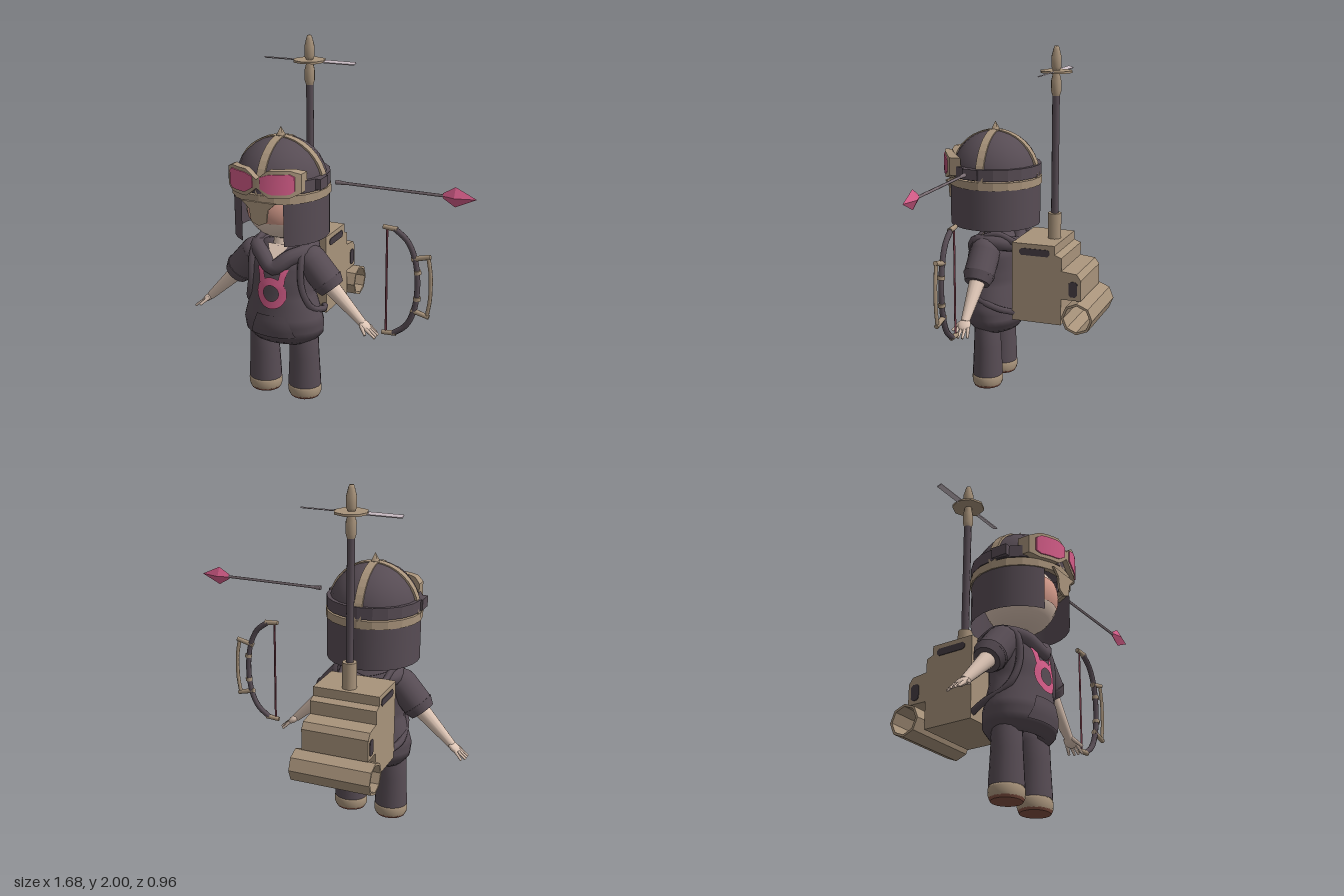
import * as THREE from 'three';
import { ParametricGeometry } from 'three/addons/geometries/ParametricGeometry.js';

const mat = (name, color) => new THREE.MeshStandardMaterial({ name, color, side: THREE.DoubleSide });
const M = {
  dark: mat('charcoal cloth', 0x574c54), tan: mat('tan', 0xa8937b), pink: mat('pink', 0xd45c88),
  skin: mat('skin', 0xdcc4b4), blush: mat('blush', 0xd39a8a), sole: mat('brown sole', 0x855243),
  metal: mat('grey metal', 0x7d7076), blade: mat('pale blade', 0xc9bcc4),
  cord: mat('bow cord', 0x7a3f4c), vent: mat('vent', 0x463d44),
};
const V = (x, y, z) => new THREE.Vector3(x, y, z);

function add(parent, name, geo, material, x = 0, y = 0, z = 0) {
  const mesh = new THREE.Mesh(geo, material);
  mesh.name = name;
  mesh.position.set(x, y, z);
  parent.add(mesh);
  return mesh;
}
// Tapered cylinder from point a to point b
function rod(parent, name, a, b, r1, r2, material, sides = 10) {
  const mesh = add(parent, name, new THREE.CylinderGeometry(r2, r1, a.distanceTo(b), sides), material);
  mesh.position.copy(a).lerp(b, 0.5);
  mesh.quaternion.setFromUnitVectors(V(0, 1, 0), b.clone().sub(a).normalize());
  return mesh;
}
const lathe = (pts, seg) => new THREE.LatheGeometry(pts.map(p => new THREE.Vector2(...p)), seg);
const poly = pts => new THREE.Shape(pts.map(p => new THREE.Vector2(...p)));
const extrude = (shape, depth, curveSegments = 12) =>
  new THREE.ExtrudeGeometry(shape, { depth, bevelEnabled: false, curveSegments });
const tube = (pts, r, seg = 24, sides = 8, closed = false) =>
  new THREE.TubeGeometry(new THREE.CatmullRomCurve3(pts.map(p => V(...p)), closed), seg, r, sides, closed);
const patch = (fn, nu, nv) => new ParametricGeometry((u, v, t) => t.set(...fn(u, v)), nu, nv);
// Box whose vertices are moved by a rule of (-0.5..0.5) coordinates
function shapedBox(segments, fn) {
  const g = new THREE.BoxGeometry(1, 1, 1, segments, 1, 1), p = g.attributes.position;
  for (let i = 0; i < p.count; i++) p.setXYZ(i, ...fn(p.getX(i), p.getY(i), p.getZ(i)));
  g.computeVertexNormals();
  return g;
}

// Torso sections: y, half width, front z, back z
const TORSO = [
  [0.37, 0.10, 0.26, 0.10], [0.345, 0.19, 0.30, 0.04], [0.39, 0.23, 0.34, 0.01], [0.46, 0.237, 0.352, 0.01],
  [0.54, 0.215, 0.342, 0.02], [0.62, 0.19, 0.335, 0.03], [0.70, 0.19, 0.332, 0.03], [0.79, 0.20, 0.315, 0.03],
  [0.86, 0.19, 0.275, 0.05], [0.91, 0.12, 0.24, 0.09], [0.92, 0.02, 0.19, 0.16],
];
const section = f => {
  const i = Math.min(Math.floor(f), TORSO.length - 2), t = f - i;
  return TORSO[i].map((a, k) => a + (TORSO[i + 1][k] - a) * t);
};
function chestZ(x, y) {
  let i = 1;
  while (i < TORSO.length - 2 && TORSO[i + 1][0] < y) i++;
  const [, w, f, b] = section(i + (y - TORSO[i][0]) / (TORSO[i + 1][0] - TORSO[i][0]));
  return (f + b) / 2 + (f - b) / 2 * Math.sqrt(Math.max(0, 1 - (x / w) ** 2));
}
function onChest(geo, lift) {
  const p = geo.attributes.position;
  for (let i = 0; i < p.count; i++) p.setZ(i, chestZ(p.getX(i), p.getY(i)) + lift);
  geo.computeVertexNormals();
  return geo;
}

function buildBody(b) {
  add(b, 'hoodieTorso', patch((u, v) => {
    const [y, w, f, k] = section(v * (TORSO.length - 1)), a = u * Math.PI * 2;
    return [w * Math.sin(a), y, (f + k) / 2 + (f - k) / 2 * Math.cos(a)];
  }, 28, (TORSO.length - 1) * 2), M.dark);
  add(b, 'hood', tube([[0, 0.80, 0.305], [0.08, 0.855, 0.27], [0.15, 0.88, 0.19], [0.13, 0.88, 0.08], [0, 0.85, 0.035],
    [-0.13, 0.88, 0.08], [-0.15, 0.88, 0.19], [-0.08, 0.855, 0.27]], 0.045, 40, 10, true), M.dark);
  rod(b, 'neck', V(0, 0.84, 0.19), V(0, 1.0, 0.18), 0.06, 0.04, M.skin, 14);
  add(b, 'neckline', patch((u, v) => [(u - 0.5) * 0.13 * v, 0.815 + 0.1 * v, 0.325 - 0.09 * v], 2, 2), M.skin);
  // Chest ring with two horns
  add(b, 'chestRing', onChest(new THREE.RingGeometry(0.046, 0.09, 28, 3).translate(0, 0.66, 0), 0.008), M.pink);
  for (const s of [-1, 1]) {
    add(b, 'chestHorn', onChest(patch((u, v) => {
      const x = (s > 0 ? u : 1 - u) * 0.036 + 0.04 + 0.018 * v * v;
      return [s * x, 0.715 + 0.085 * v, 0];
    }, 3, 4), 0.008), M.pink);
  }
  add(b, 'frontPocket', onChest(patch((u, v) => [(u - 0.5) * (0.28 - 0.1 * v), 0.40 + 0.13 * v, 0], 10, 4), 0.007), M.dark);

  for (const s of [-1, 1]) {
    const P = (x, y, z = 0.18) => V(s * x, y, z);
    // Leg, shoe and sole
    const foot = new THREE.Group();
    foot.name = s > 0 ? 'leftLeg' : 'rightLeg';
    foot.position.set(s * 0.126, 0, 0.185);
    foot.scale.z = 0.92;
    b.add(foot);
    add(foot, 'trouserLeg', lathe([[0.096, 0.07], [0.094, 0.12], [0.087, 0.25], [0.083, 0.37], [0.06, 0.44], [0, 0.45]], 18), M.dark);
    add(foot, 'shoe', lathe([[0.092, 0.012], [0.098, 0.03], [0.098, 0.06], [0.09, 0.074], [0, 0.074]], 18), M.tan);
    add(foot, 'sole', new THREE.CylinderGeometry(0.093, 0.085, 0.014, 18), M.sole, 0, 0.007, 0);
    // Sleeve and arm
    add(b, 'shoulder', new THREE.SphereGeometry(0.088, 14, 10), M.dark, s * 0.175, 0.825, 0.18);
    rod(b, 'sleeve', P(0.175, 0.825), P(0.275, 0.71), 0.088, 0.088, M.dark, 16);
    rod(b, 'sleeveCuff', P(0.267, 0.72), P(0.30, 0.68), 0.092, 0.072, M.dark, 16);
    rod(b, 'arm', P(0.25, 0.73), P(0.48, 0.505), 0.052, 0.024, M.skin, 14);
    const palm = add(b, 'palm', new THREE.SphereGeometry(1, 12, 8), M.skin, s * 0.495, 0.493, 0.178);
    palm.scale.set(0.042, 0.02, 0.038);
    palm.rotation.z = -s * 0.68;
    for (let i = 0; i < 4; i++) {
      const z = 0.205 - i * 0.019, tip = i === 3 ? 0.55 : 0.567;
      rod(b, 'finger', P(0.51, 0.483, z), P(tip, 0.44, z + 0.006 - i * 0.006), 0.0105, 0.007, M.skin, 6);
    }
    rod(b, 'thumb', P(0.48, 0.50, 0.205), P(0.52, 0.462, 0.24), 0.012, 0.008, M.skin, 6);
    // Backpack strap
    add(b, 'packStrap', tube([[s * 0.13, 0.89, 0.01], [s * 0.14, 0.93, 0.12], [s * 0.15, 0.87, 0.25], [s * 0.155, 0.70, 0.275],
      [s * 0.19, 0.57, 0.23], [s * 0.205, 0.51, 0.1], [s * 0.16, 0.48, -0.02]], 0.02, 30, 6), M.dark);
  }
}

function buildHead(b) {
  const CZ = 0.18;
  const head = add(b, 'head', new THREE.SphereGeometry(1, 24, 18), M.skin, 0, 1.14, 0.18);
  head.scale.set(0.2, 0.195, 0.2);
  add(b, 'faceBlush', patch((u, v) => {
    const x = (u - 0.5) * 0.27, y = 1.075 + 0.135 * v;
    return [x, y, 0.184 + 0.2 * Math.sqrt(1 - (x / 0.2) ** 2 - ((y - 1.14) / 0.195) ** 2)];
  }, 12, 8), M.blush);
  // Neck guard, open at the face
  add(b, 'helmetCurtain', new THREE.CylinderGeometry(0.262, 0.262, 0.25, 24, 1, true, 0.49, Math.PI * 2 - 0.98), M.dark, 0, 1.1, CZ);
  add(b, 'helmetDome', new THREE.SphereGeometry(0.255, 18, 8, 0, Math.PI * 2, 0, Math.PI / 2), M.dark, 0, 1.26, CZ);
  const ring = (r, y0, y1) => lathe([[0.24, y0], [r, y0], [r, y1], [0.24, y1]], 20).toNonIndexed();
  for (const [name, r, y0, y1, m] of [['browBand', 0.27, 1.21, 1.255, M.tan], ['goggleStrap', 0.266, 1.262, 1.328, M.dark]]) {
    const g = ring(r, y0, y1);
    g.computeVertexNormals();
    add(b, name, g, m, 0, 0, CZ);
  }
  // Crossed ridges over the dome
  const arch = new THREE.Shape();
  arch.absarc(0, 0, 0.265, 0, Math.PI, false);
  arch.absarc(0, 0, 0.235, Math.PI, 0, true);
  for (const turn of [0, Math.PI / 2]) {
    add(b, 'domeRidge', extrude(arch, 0.046, 9).translate(0, 0, -0.023), M.tan, 0, 1.255, CZ).rotation.y = turn;
  }
  const spike = add(b, 'helmetSpike', new THREE.ConeGeometry(0.03, 0.055, 4), M.tan, 0, 1.54, CZ);
  spike.rotation.y = Math.PI / 4;
  add(b, 'noseGuard', extrude(poly([[-0.1, 1.22], [-0.055, 1.18], [-0.045, 1.11], [0, 1.09], [0.045, 1.11], [0.055, 1.18], [0.1, 1.22]]), 0.012), M.tan, 0, 0, 0.443);
  // Goggles wrapped round the brow
  const wrap = (x, y, r) => [x, y, CZ + Math.sqrt(r * r - x * x)];
  const notch = x => 0.05 * Math.max(0, 1 - Math.abs(x) / 0.06);
  const edge = x => 0.5 * Math.max(0, Math.abs(x) - 0.17);
  add(b, 'goggleFrame', shapedBox(20, (u, v, w) => {
    const x = u * 0.43;
    return wrap(x, v > 0 ? 1.398 - notch(x) - edge(x) : 1.252 + notch(x) + edge(x), w > 0 ? 0.292 : 0.25);
  }), M.tan);
  for (const s of [-1, 1]) {
    add(b, 'goggleLens', shapedBox(8, (u, v, w) => {
      const x = 0.106 * s + u * 0.168, inner = 0.03 * Math.max(0, 1 - (Math.abs(x) - 0.022) / 0.05);
      const corner = Math.max(0, Math.abs(x) - 0.17) * 0.8;
      return wrap(x, v > 0 ? 1.38 - inner * 0.6 - corner : 1.272 + inner + corner, w > 0 ? 0.298 : 0.29);
    }), M.pink);
    add(b, 'strapBuckle', new THREE.BoxGeometry(0.06, 0.06, 0.09), M.dark, s * 0.247, 1.298, CZ + 0.05);
  }
}

function buildPack(b) {
  // Profile runs backwards, extruded across x
  const across = (shape, width) => extrude(shape, width).translate(0, 0, -width / 2).rotateY(Math.PI / 2);
  add(b, 'packBody', across(poly([[-0.01, 0.445], [0.285, 0.445], [0.285, 0.6], [0.4, 0.6], [0.4, 0.72], [0.375, 0.755],
    [0.285, 0.765], [0.285, 0.84], [0.245, 0.855], [0.245, 0.907], [-0.01, 0.907]]), 0.38), M.tan, -0.005);
  const octagon = r => Array.from({ length: 8 }, (_, i) =>
    [0.39 + r * Math.cos(i * Math.PI / 4), 0.505 + r * Math.sin(i * Math.PI / 4)]);
  const pipe = poly(octagon(0.092));
  pipe.holes.push(poly(octagon(0.078)));
  add(b, 'packTube', across(pipe, 0.46), M.tan, -0.005);
  for (const s of [-1, 1]) {
    for (const [y, z, h, d] of [[0.86, -0.125, 0.04, 0.18], [0.665, -0.355, 0.09, 0.05]]) {
      const c = 0.012, a = d / 2, e = h / 2;
      add(b, 'packVent', across(poly([[c - a, -e], [a - c, -e], [a, c - e], [a, e - c], [a - c, e], [c - a, e], [-a, e - c], [-a, c - e]]), 0.006),
        M.vent, -0.005 + s * 0.191, y, z);
    }
  }
  // Rotor mast
  const mast = new THREE.Group();
  mast.name = 'rotorMast';
  mast.position.z = -0.183;
  b.add(mast);
  add(mast, 'mastSocket', new THREE.CylinderGeometry(0.04, 0.04, 0.15, 10), M.tan, 0, 0.98, 0);
  add(mast, 'mastPole', new THREE.CylinderGeometry(0.022, 0.022, 0.7, 8), M.dark, 0, 1.39, 0);
  add(mast, 'mastCollar', lathe([[0.022, 1.725], [0.03, 1.75], [0.03, 1.81], [0.022, 1.84], [0.022, 1.88]], 8), M.tan);
  add(mast, 'rotorDisc', new THREE.CylinderGeometry(0.094, 0.094, 0.012, 8), M.tan, 0, 1.86, 0);
  add(mast, 'rotorCap', lathe([[0.02, 1.866], [0.03, 1.885], [0.03, 1.94], [0.018, 1.985], [0.012, 2.0], [0, 2.0]], 8), M.tan);
  for (const s of [-1, 1]) {
    add(mast, 'rotorBlade', new THREE.BoxGeometry(0.195, 0.006, 0.03), M.blade, s * 0.178, 1.86, 0).rotation.x = s * 0.3;
  }
}

function buildArrow(g) {
  const Z = 0.23, Y = 1.31;
  rod(g, 'arrowShaft', V(0.08, Y, Z), V(0.7, Y, Z), 0.008, 0.008, M.metal, 6);
  rod(g, 'arrowNock', V(0.075, Y, Z), V(0.14, Y, Z), 0.013, 0.008, M.metal, 6);
  const head = new THREE.Group();
  head.name = 'arrowHead';
  head.position.set(0, Y, Z);
  head.scale.z = 0.5;
  g.add(head);
  rod(head, 'arrowHeadBase', V(0.665, 0, 0), V(0.73, 0, 0), 0.014, 0.053, M.pink, 4);
  rod(head, 'arrowHeadTip', V(0.73, 0, 0), V(0.84, 0, 0), 0.053, 0.001, M.pink, 4);
  head.children.forEach(m => { m.geometry = m.geometry.toNonIndexed(); m.geometry.computeVertexNormals(); });
}

function buildBow(g) {
  const Z = 0.178, C = 0.778;
  rod(g, 'bowString', V(0.347, C - 0.31, Z), V(0.347, C + 0.31, Z), 0.006, 0.006, M.cord, 6);
  add(g, 'bowLimbs', tube([[0.39, C + 0.3, Z], [0.46, C + 0.245, Z], [0.505, C + 0.15, Z], [0.523, C, Z],
    [0.505, C - 0.15, Z], [0.46, C - 0.245, Z], [0.39, C - 0.3, Z]], 0.016, 24, 8), M.dark);
  add(g, 'bowGrip', tube([[0.58, C + 0.165, Z], [0.594, C + 0.08, Z], [0.597, C, Z], [0.594, C - 0.08, Z], [0.58, C - 0.165, Z]], 0.011, 12, 6), M.tan);
  for (const s of [-1, 1]) {
    rod(g, 'bowTip', V(0.325, C + s * 0.305, Z), V(0.405, C + s * 0.298, Z), 0.013, 0.016, M.tan, 8);
    rod(g, 'gripBracket', V(0.49, C + s * 0.145, Z), V(0.592, C + s * 0.172, Z), 0.016, 0.013, M.tan, 8);
    rod(g, 'limbRing', V(0.523, C + s * 0.065, Z), V(0.521, C + s * 0.085, Z), 0.021, 0.021, M.tan, 8);
  }
}

export function createModel() {
  const root = new THREE.Group();
  root.name = 'archerWithRotorPack';
  const part = (name, build, x = 0) => {
    const g = new THREE.Group();
    g.name = name;
    g.position.x = x;
    root.add(g);
    build(g);
  };
  part('body', buildBody, -0.27);
  part('headAndHelmet', buildHead, -0.27);
  part('backpack', buildPack, -0.27);
  part('arrow', buildArrow);
  part('bow', buildBow);
  return root;
}
